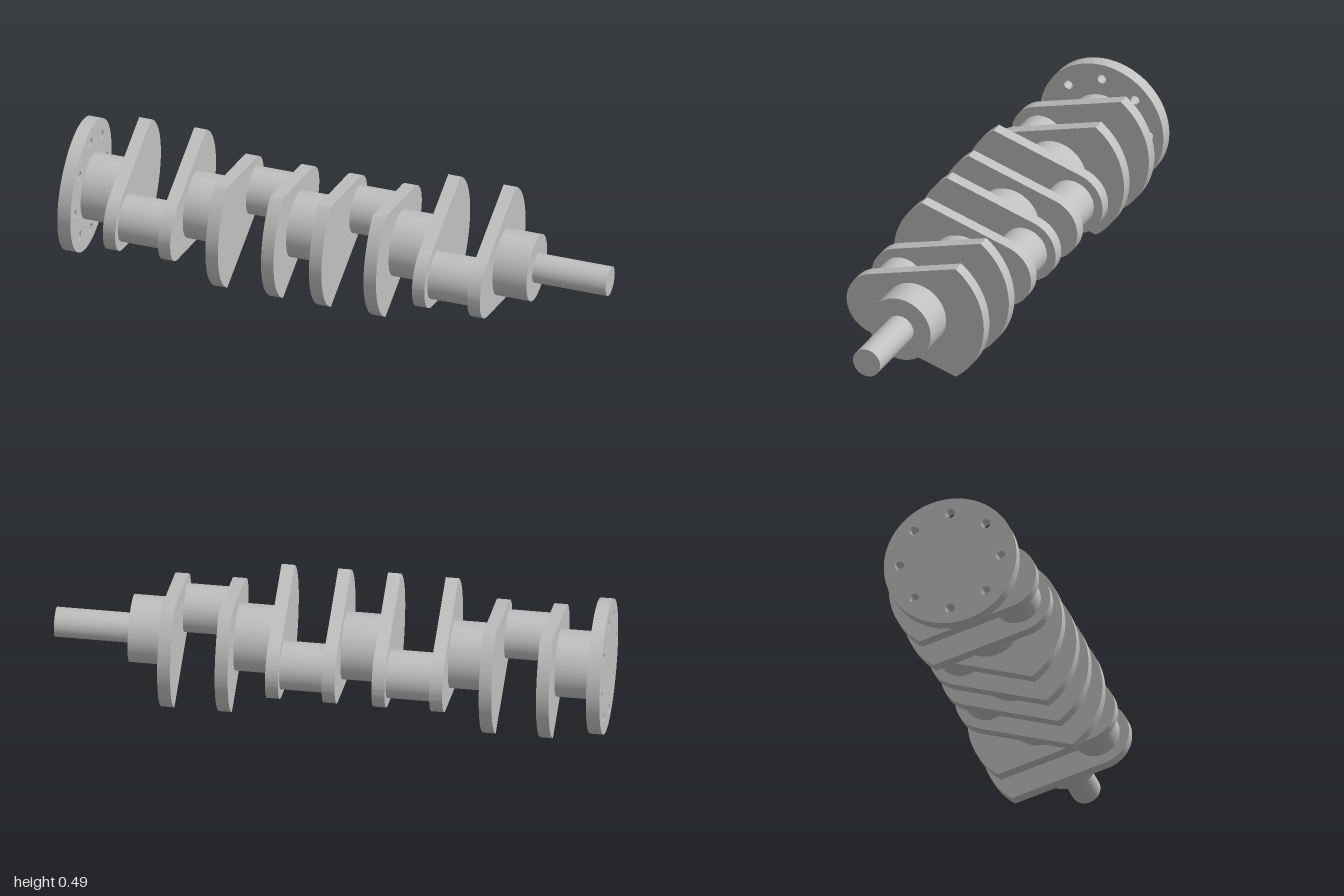
import * as THREE from 'three';
import { toCreasedNormals } from 'three/addons/utils/BufferGeometryUtils.js';

const AXIS_Y = 0.245;
const MAIN_R = 0.1225, PIN_R = 0.088, THROW = 0.15, WEB_R = 0.272;

export function createModel() {
  const crankshaft = new THREE.Group();
  crankshaft.name = 'crankshaft';
  const steel = new THREE.MeshStandardMaterial({ name: 'steel grey', color: 0xc0c0c0 });

  function add(name, geometry, x, z = 0) {
    const mesh = new THREE.Mesh(geometry, steel);
    mesh.name = name;
    mesh.position.set(x, AXIS_Y, z);
    crankshaft.add(mesh);
    return mesh;
  }

  // Round bar along x from x0 to x1
  function bar(name, radius, x0, x1, z = 0) {
    const geometry = new THREE.CylinderGeometry(radius, radius, x1 - x0, 64).rotateZ(-Math.PI / 2);
    return add(name, geometry, (x0 + x1) / 2, z);
  }

  // Flat plate across the shaft; side +1 turns the shape's +x towards +z, -1 towards -z
  function plate(name, shape, x0, x1, side = 1) {
    const depth = x1 - x0;
    const geometry = new THREE.ExtrudeGeometry(shape, { depth, bevelEnabled: false, curveSegments: 48 });
    geometry.translate(0, 0, -depth / 2).rotateY(-side * Math.PI / 2);
    return add(name, toCreasedNormals(geometry, 0.45), (x0 + x1) / 2);
  }

  // Flywheel flange with a ring of bolt holes
  const flange = new THREE.Shape().absarc(0, 0, 0.245, 0, Math.PI * 2);
  for (let i = 0; i < 8; i++) {
    const a = i * Math.PI / 4;
    flange.holes.push(new THREE.Path().absarc(0.187 * Math.cos(a), 0.187 * Math.sin(a), 0.017, 0, Math.PI * 2, true));
  }
  plate('flywheelFlange', flange, -1, -0.951);

  // Web: rounded pin end, straight flanks widening to a counterweight arc
  const web = new THREE.Shape();
  const pinAngle = 1.281, weightAngle = Math.atan2(0.22, -0.16);
  web.absarc(THROW, 0, MAIN_R, -pinAngle, pinAngle, false);
  web.absarc(0, 0, WEB_R, weightAngle, Math.PI * 2 - weightAngle, false);
  web.closePath();

  // Four throws: outer faces and inner faces of each pair of webs
  const throws = [
    { x: [-0.82, -0.774, -0.613, -0.567], side: 1 },
    { x: [-0.435, -0.388, -0.226, -0.179], side: -1 },
    { x: [-0.046, 0.001, 0.159, 0.206], side: -1 },
    { x: [0.341, 0.388, 0.549, 0.596], side: 1 },
  ];
  let journalStart = -0.951;
  throws.forEach(({ x, side }, i) => {
    const n = i + 1;
    bar('mainJournal' + n, MAIN_R, journalStart, x[0]);
    plate('rearWeb' + n, web, x[0], x[1], side);
    bar('crankPin' + n, PIN_R, x[1], x[2], side * THROW);
    plate('frontWeb' + n, web, x[2], x[3], side);
    journalStart = x[3];
  });

  // Last journal and the slim nose
  bar('mainJournal5', MAIN_R, journalStart, 0.724);
  bar('nose', 0.054, 0.724, 1);

  return crankshaft;
}
